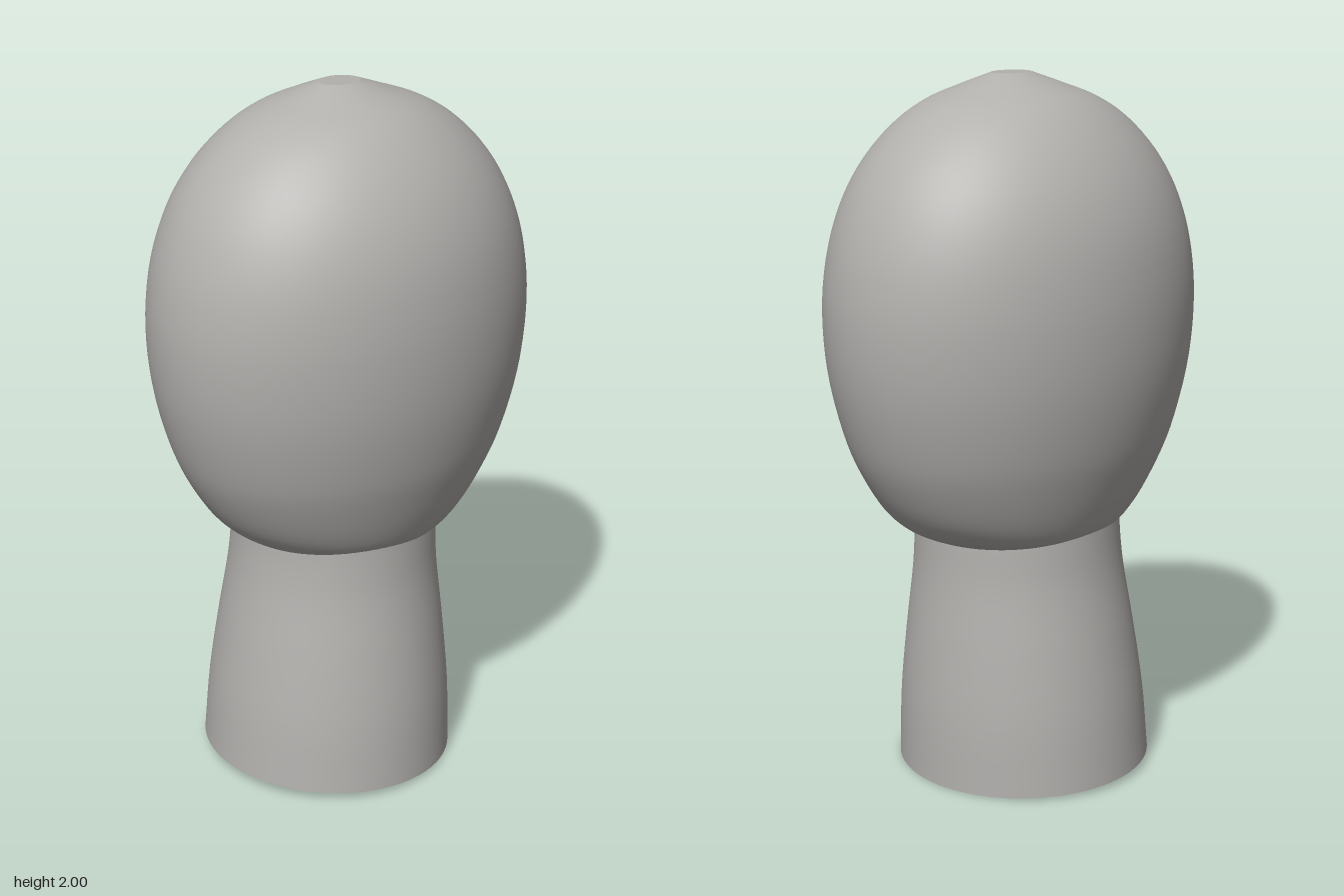
import * as THREE from 'three';

const SIDES = 72;

// Closed loft of elliptical rings. Each profile point is (half width, height, half depth).
function loft(profile, steps, bend = (p) => p) {
  const curve = new THREE.CatmullRomCurve3(profile.map((p) => new THREE.Vector3(...p)));
  const rings = curve.getPoints(steps);
  const positions = [];
  const index = [];
  const addRing = (r) => {
    const start = positions.length / 3;
    for (let j = 0; j < SIDES; j++) {
      const a = (j / SIDES) * Math.PI * 2;
      const p = bend(new THREE.Vector3(r.x * Math.sin(a), r.y, r.z * Math.cos(a)));
      positions.push(p.x, p.y, p.z);
    }
    return start;
  };
  // Side wall
  rings.forEach(addRing);
  for (let i = 0; i < steps; i++) {
    for (let j = 0; j < SIDES; j++) {
      const k = (j + 1) % SIDES;
      const a = i * SIDES + j, b = i * SIDES + k;
      index.push(a, b, b + SIDES, a, b + SIDES, a + SIDES);
    }
  }
  // Flat end caps with their own vertices, so the rims stay sharp
  for (const [ring, up] of [[rings[0], false], [rings[steps], true]]) {
    const s = addRing(ring);
    for (let j = 1; j < SIDES - 1; j++) {
      if (up) index.push(s, s + j, s + j + 1);
      else index.push(s, s + j + 1, s + j);
    }
  }
  const geometry = new THREE.BufferGeometry();
  geometry.setAttribute('position', new THREE.Float32BufferAttribute(positions, 3));
  geometry.setIndex(index);
  geometry.computeVertexNormals();
  return geometry;
}

export function createModel() {
  const group = new THREE.Group();
  group.name = 'mannequinHead';
  const grey = new THREE.MeshStandardMaterial({ color: 0xb3b1ae });
  grey.name = 'warm grey';

  const add = (name, geometry) => {
    const mesh = new THREE.Mesh(geometry, grey);
    mesh.name = name;
    group.add(mesh);
  };

  // Egg-shaped head, deeper than wide, with a small flat crown
  add('head', loft([
    [0.2, 0.695, 0.2], [0.265, 0.715, 0.275], [0.3, 0.745, 0.335], [0.33, 0.8, 0.395],
    [0.37, 0.9, 0.46], [0.402, 1.0, 0.505], [0.437, 1.18, 0.553], [0.448, 1.36, 0.568],
    [0.44, 1.5, 0.555], [0.42, 1.61, 0.526], [0.385, 1.71, 0.482], [0.335, 1.8, 0.42],
    [0.27, 1.88, 0.335], [0.21, 1.93, 0.25], [0.135, 1.966, 0.155], [0.05, 2.0, 0.06],
  ], 64));

  // Neck flares downwards, leans forward and has a slanted base
  add('neck', loft([
    [0.373, 0, 0.358], [0.36, 0.2, 0.348], [0.335, 0.4, 0.326],
    [0.306, 0.6, 0.3], [0.298, 0.72, 0.292], [0.295, 0.8, 0.29],
  ], 24, (p) => {
    const low = Math.max(0, 1 - p.y / 0.7);
    p.z += 0.022 + 0.026 * low;
    p.y += low * (0.013 + 0.042 * p.z);
    return p;
  }));

  return group;
}
